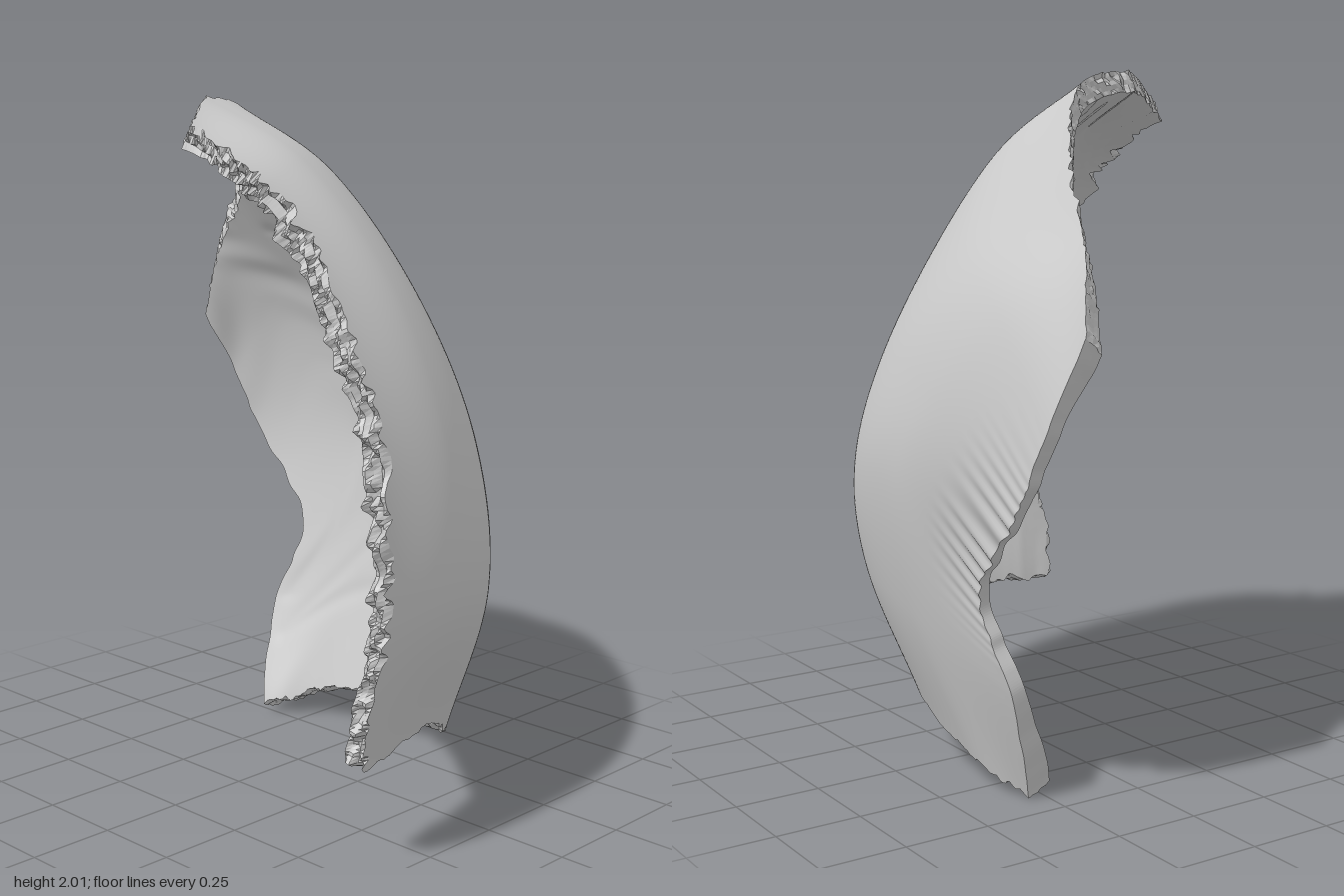
import * as THREE from 'three';

// Curves across the outer skin, from the midline edge to the lower side edge.
// Each runs from the bottom edge to the top edge as [x, y, z].
const RIBS = [
  [[-.49, .295, .72], [-.48, .70, .80], [-.48, 1.15, .77], [-.48, 1.52, .61], [-.48, 1.78, .375], [-.48, 1.92, .08]],
  [[-.16, .315, .65], [-.17, .70, .765], [-.16, 1.12, .71], [-.17, 1.51, .525], [-.18, 1.825, .21], [-.20, 1.995, -.17]],
  [[.08, .215, .52], [.14, .64, .62], [.16, 1.05, .545], [.16, 1.42, .34], [.14, 1.755, .03], [.05, 1.95, -.27]],
  [[.32, .175, .19], [.44, .56, .28], [.49, .90, .235], [.455, 1.25, .07], [.375, 1.535, -.18], [.24, 1.75, -.50]],
  [[.37, .08, -.20], [.505, .50, -.10], [.57, .87, -.13], [.545, 1.15, -.28], [.465, 1.39, -.48], [.33, 1.555, -.69]],
  [[.30, .0, -.40], [.405, .33, -.47], [.475, .60, -.42], [.51, .86, -.645], [.48, 1.08, -.745], [.40, 1.32, -.80]],
].map(rib => rib.map(p => new THREE.Vector3(...p)));

const NU = 110, NV = 200, LAYERS = 5;

// Smooth spline through points, extended a little past both ends
function spline(points, t) {
  const n = points.length - 1, s = t * n;
  const i = THREE.MathUtils.clamp(Math.floor(s), 0, n - 1), f = s - i;
  const b = points[i], c = points[i + 1];
  const a = i > 0 ? points[i - 1] : b.clone().multiplyScalar(2).sub(c);
  const d = i < n - 1 ? points[i + 2] : c.clone().multiplyScalar(2).sub(b);
  const f2 = f * f, f3 = f2 * f;
  return new THREE.Vector3()
    .addScaledVector(a, (-f + 2 * f2 - f3) / 2)
    .addScaledVector(b, (2 - 5 * f2 + 3 * f3) / 2)
    .addScaledVector(c, (f + 4 * f2 - 3 * f3) / 2)
    .addScaledVector(d, (f3 - f2) / 2);
}
const skin = (u, v) => spline(RIBS.map(rib => spline(rib, v)), u);

// Repeatable value noise in -1..1
const hash = (n, seed) => {
  const s = Math.sin(n * 127.1 + seed * 311.7) * 43758.5453;
  return 2 * (s - Math.floor(s)) - 1;
};
function noise(t, seed) {
  const i = Math.floor(t), f = t - i;
  return THREE.MathUtils.lerp(hash(i, seed), hash(i + 1, seed), f * f * (3 - 2 * f));
}
const bump = (x, centre, width) => Math.exp(-(((x - centre) / width) ** 2));

// Vessel grooves fanning over the inner face: [u0, v0, u1, v1]
const GROOVES = [[.97, .12, .3, .55], [.97, .12, .25, .2], [.97, .2, .65, .9], [.65, .32, .35, .85]];
function groove(u, v) {
  let depth = 0;
  for (const [a, b, c, d] of GROOVES) {
    const t = THREE.MathUtils.clamp(((u - a) * (c - a) + (v - b) * (d - b)) / ((c - a) ** 2 + (d - b) ** 2), 0, 1);
    const dist = Math.hypot(u - a - t * (c - a), v - b - t * (d - b) - .02 * Math.sin(t * 9));
    depth = Math.max(depth, .005 * bump(dist, 0, .018));
  }
  return depth;
}

// Point of the plate: u across, v upward, w from outer (0) to inner (1)
function plate(u, v, w) {
  const seed = Math.round(w * LAYERS);
  // saw-like teeth, largest along the midline edge
  const big = .016 + .018 * bump(v, .8, .1);
  const midline = big * (noise(v * 75, seed * .3 + 1) + .6 * noise(v * 38, 2));
  const bottom = .006 * noise(u * 60, 7) + .003 * noise(u * 100, 8 + seed);
  const top = .004 * noise(u * 55, 17) + .003 * noise(u * 100, 18 + seed);
  const side = .004 * noise(v * 25, 30);
  const uu = u - midline * Math.exp(-u * 28) + side * Math.exp((u - 1) * 28);
  // the top edge is undercut towards the inner face
  const undercut = .022 * w * THREE.MathUtils.smoothstep(u, .1, .5) * Math.exp((v - 1) * 20);
  const vv = v - bottom * Math.exp(-v * 50) + top * Math.exp((v - 1) * 50) - undercut;

  const e = .004, p = skin(uu, vv);
  const du = skin(uu + e, vv).sub(skin(uu - e, vv));
  const dv = skin(uu, vv + e).sub(skin(uu, vv - e));
  const normal = du.cross(dv).normalize();

  // the side edge is thin and finely ridged, its two ends are thick
  const edge = THREE.MathUtils.smoothstep(u, .8, 1);
  const ends = .03 * bump(u, 1, .12) * bump(v, 0, .12) + .025 * bump(u, .93, .12) * bump(v, 1, .12);
  const thickness = .06 - .025 * edge * bump(v, .5, .35) + ends;
  const notch = THREE.MathUtils.smoothstep(u, .88, 1) * bump(v, .5, .14);
  const outer = notch * (.007 * Math.sin(v * 190 + 2 * noise(v * 20, 44)) - .006);
  const inner = -thickness + groove(u, v) + .003 * noise(v * 11 + 3 * noise(u * 7, 43), 42);
  return p.addScaledVector(normal, THREE.MathUtils.lerp(outer, inner, w));
}

// Quad grid geometry from rows of points
function gridGeometry(rows, flip) {
  const cols = rows[0].length, index = [];
  for (let j = 0; j < rows.length - 1; j++) {
    for (let i = 0; i < cols - 1; i++) {
      const a = j * cols + i, b = a + 1, c = b + cols, d = a + cols;
      if (flip) index.push(a, c, b, a, d, c);
      else index.push(a, b, c, a, c, d);
    }
  }
  const geometry = new THREE.BufferGeometry().setFromPoints(rows.flat());
  geometry.setIndex(index);
  geometry.computeVertexNormals();
  return geometry;
}

const face = w => Array.from({ length: NV + 1 }, (_, j) =>
  Array.from({ length: NU + 1 }, (_, i) => plate(i / NU, j / NV, w)));

export function createModel() {
  const group = new THREE.Group();
  group.name = 'curvedBonePlate';
  const add = (name, geometry, flatShading = false) => {
    const material = new THREE.MeshStandardMaterial({ color: 0xcccccc, flatShading });
    const mesh = new THREE.Mesh(geometry, material);
    mesh.name = name;
    group.add(mesh);
  };

  // Domed outside and hollow inside
  add('outerSurface', gridGeometry(face(0), false));
  add('innerSurface', gridGeometry(face(1), true));

  // Rough rim joining both faces, followed around all four edges
  const loop = [];
  for (let i = 0; i < NU; i++) loop.push([i / NU, 0]);
  for (let j = 0; j < NV; j++) loop.push([1, j / NV]);
  for (let i = NU; i > 0; i--) loop.push([i / NU, 1]);
  for (let j = NV; j >= 0; j--) loop.push([0, j / NV]);
  const rim = Array.from({ length: LAYERS + 1 }, (_, k) =>
    loop.map(([u, v]) => plate(u, v, k / LAYERS)));
  add('serratedRim', gridGeometry(rim, true), true);

  return group;
}
